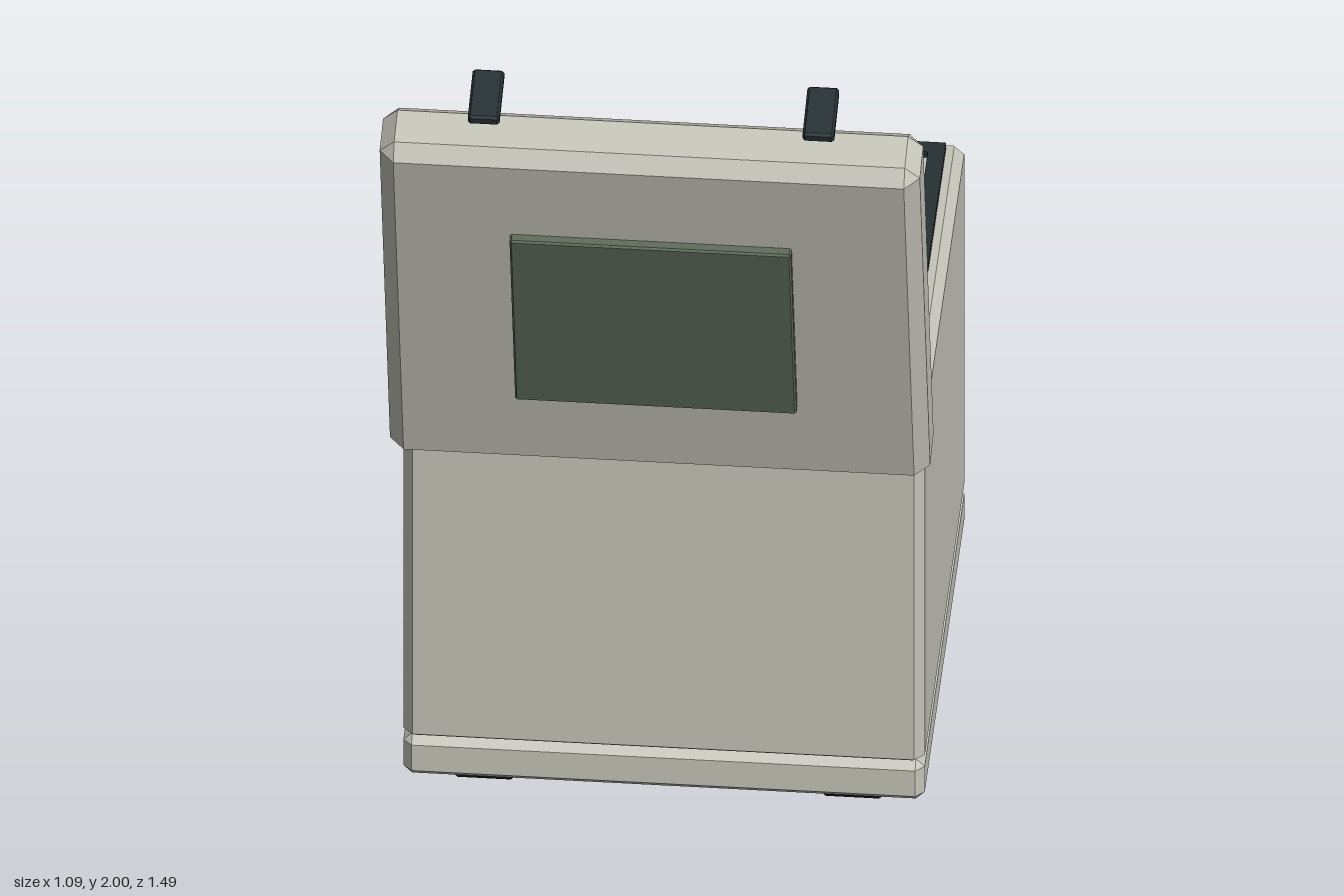
import * as THREE from 'three';

const mat = (color, extra = {}) => new THREE.MeshStandardMaterial({ color, flatShading: true, ...extra });
const shell = mat(0xc5c4b9);
const rubber = mat(0x263033);
const green = mat(0x5c6a58);
const slate = mat(0x586568);
const steel = mat(0x748794);
const tan = mat(0xcbb483);

// Skin a stack of chamfered rectangles [halfX, halfZ, y, cornerCut], capping first and last if asked
function loft(rings, caps = true) {
  const pts = rings.map(([hx, hz, y, c]) => [
    [hx, hz - c], [hx - c, hz], [c - hx, hz], [-hx, hz - c],
    [-hx, c - hz], [c - hx, -hz], [hx - c, -hz], [hx, c - hz],
  ].map(([x, z]) => new THREE.Vector3(x, y, z)));
  const pos = [];
  const tri = (a, b, c) => {
    if (new THREE.Triangle(a, b, c).getArea() < 1e-8) return;
    for (const p of [a, b, c]) pos.push(p.x, p.y, p.z);
  };
  for (let r = 0; r + 1 < pts.length; r++) {
    const a = pts[r], b = pts[r + 1];
    for (let i = 0; i < 8; i++) {
      const j = (i + 1) % 8;
      tri(a[i], b[i], b[j]);
      tri(a[i], b[j], a[j]);
    }
  }
  if (caps) {
    const a = pts[0], b = pts[pts.length - 1];
    for (let i = 1; i < 7; i++) {
      tri(a[0], a[i], a[i + 1]);
      tri(b[0], b[i + 1], b[i]);
    }
  }
  const g = new THREE.BufferGeometry();
  g.setAttribute('position', new THREE.Float32BufferAttribute(pos, 3));
  g.computeVertexNormals();
  return g;
}

// Box with every edge chamfered by c
function chamferBox(w, h, d, c) {
  const x = w / 2, y = h / 2, z = d / 2;
  return loft([
    [x - c, z - c, -y, 0], [x, z, c - y, c], [x, z, y - c, c], [x - c, z - c, y, 0],
  ]);
}

function add(parent, name, geometry, material, x, y, z) {
  const m = new THREE.Mesh(geometry, material);
  m.name = name;
  m.position.set(x, y, z);
  parent.add(m);
  return m;
}

export function createModel() {
  const model = new THREE.Group();
  model.name = 'openCase';
  const cz = -0.082;

  // Base tray, recessed seam and hollow body
  add(model, 'base', chamferBox(1.056, 0.1, 0.96, 0.018), shell, 0, 0.13, cz);
  add(model, 'seam', new THREE.BoxGeometry(1.02, 0.05, 0.924), shell, 0, 0.185, cz);
  add(model, 'body', loft([
    [0.523, 0.475, 0.185, 0.018],
    [0.528, 0.48, 0.19, 0.02],
    [0.528, 0.48, 1.018, 0.02],
    [0.508, 0.46, 1.038, 0.002],
    [0.438, 0.391, 1.038, 0.002],
    [0.405, 0.364, 0.22, 0.002],
  ]), shell, 0, 0, cz);

  // Rubber gasket around the opening
  add(model, 'gasket', loft([
    [0.492, 0.443, 1.03, 0.002],
    [0.492, 0.443, 1.053, 0.002],
    [0.458, 0.409, 1.053, 0.002],
    [0.458, 0.409, 1.03, 0.002],
  ], false), rubber, 0, 0, -0.088);

  // Interior divider and padded blocks
  add(model, 'divider', chamferBox(0.035, 0.4, 0.65, 0.008), shell, 0, 0.42, -0.088);
  for (const s of [-1, 1])
    add(model, 'paddedBlock', chamferBox(0.265, 0.25, 0.43, 0.02), tan, s * 0.257, 0.345, -0.088);

  // Feet
  for (const x of [-0.373, 0.373])
    for (const z of [0.227, -0.393])
      add(model, 'foot', chamferBox(0.138, 0.086, 0.135, 0.015), rubber, x, 0.043, z);

  // Latch catches on the back
  for (const s of [-1, 1])
    add(model, 'latchCatch', chamferBox(0.116, 0.16, 0.03, 0.008), steel, s * 0.34, 0.89, -0.6);

  // Plate with two screws
  add(model, 'plate', chamferBox(0.28, 0.19, 0.018, 0.003), green, 0.21, 0.51, -0.612);
  for (const x of [0.1, 0.305]) {
    const screw = add(model, 'screw', new THREE.CylinderGeometry(0.016, 0.016, 0.03, 10), steel, x, 0.51, -0.633);
    screw.rotation.x = Math.PI / 2;
  }

  // Carry handle
  const handle = new THREE.Group();
  handle.name = 'handle';
  model.add(handle);
  for (const s of [-1, 1])
    add(handle, 'handlePost', chamferBox(0.066, 0.08, 0.11, 0.012), rubber, s * 0.21, 0.54, -0.651);
  add(handle, 'handleGrip', chamferBox(0.458, 0.04, 0.043, 0.01), rubber, 0, 0.565, -0.722);

  // Lid, swung open and leaning forward
  const lid = new THREE.Group();
  lid.name = 'lid';
  lid.position.set(0, 1.45, 0.554);
  lid.rotation.x = THREE.MathUtils.degToRad(15);
  model.add(lid);
  add(lid, 'lidShell', chamferBox(1.094, 0.99, 0.142, 0.03), shell, 0, 0, 0);
  add(lid, 'outerPanel', chamferBox(0.57, 0.515, 0.025, 0.004), green, 0, -0.005, 0.078);
  add(lid, 'innerPanel', chamferBox(0.79, 0.697, 0.016, 0.003), slate, 0, 0.004, -0.097);
  add(lid, 'innerLabel', chamferBox(0.18, 0.353, 0.017, 0.004), green, 0.299, 0.005, -0.123);
  for (const s of [-1, 1])
    add(lid, 'latch', chamferBox(0.064, 0.025, 0.127, 0.005), rubber, s * 0.339, 0.522, -0.065);

  return model;
}
